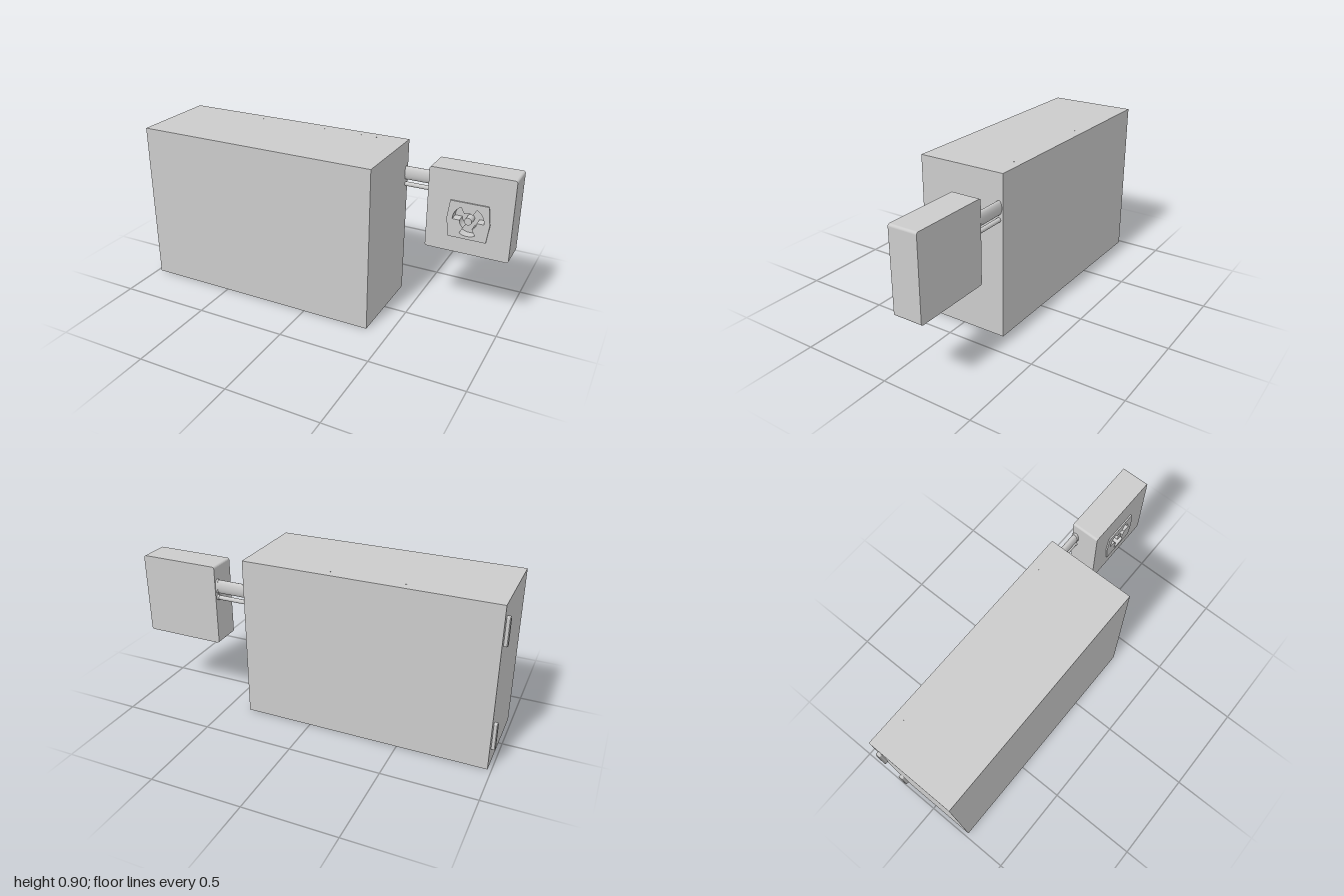
import * as THREE from 'three';

const material = new THREE.MeshStandardMaterial({ color: 0xcccccc });

function add(parent, name, geometry, x = 0, y = 0, z = 0) {
  const mesh = new THREE.Mesh(geometry, material);
  mesh.name = name;
  mesh.position.set(x, y, z);
  parent.add(mesh);
  return mesh;
}

// Rectangle with small rounded corners, centred on the origin
function roundedRect(w, h, r) {
  const s = new THREE.Shape();
  const x = w / 2 - r, y = h / 2 - r;
  s.absarc(x, y, r, 0, Math.PI / 2);
  s.absarc(-x, y, r, Math.PI / 2, Math.PI);
  s.absarc(-x, -y, r, Math.PI, Math.PI * 1.5);
  s.absarc(x, -y, r, Math.PI * 1.5, Math.PI * 2);
  s.closePath();
  return s;
}

// Three 60 degree fan blades joined around a smaller hub circle
function trefoil(cx, cy, outer, inner) {
  const p = new THREE.Path();
  for (let i = 0; i < 6; i++) {
    const a = i * Math.PI / 3;
    p.absarc(cx, cy, i % 2 ? inner : outer, a, a + Math.PI / 3);
  }
  p.closePath();
  return p;
}

const extrude = (shape, depth) =>
  new THREE.ExtrudeGeometry(shape, { depth, bevelEnabled: false, curveSegments: 8 });

export function createModel() {
  const model = new THREE.Group();
  model.name = 'cabinetWithSideUnit';

  // Main cabinet
  add(model, 'cabinet', new THREE.BoxGeometry(1.355, 0.896, 0.495), -0.3025, 0.448, -0.0025);

  // Four pairs of tiny studs along the top, near the back
  for (let i = 0; i < 4; i++) {
    for (const dx of [0, 0.086]) {
      add(model, 'topStud', new THREE.CylinderGeometry(0.003, 0.003, 0.001, 8),
        -0.8 + i * 0.307 + dx, 0.8962, -0.2);
    }
  }

  // Two bevelled hinges on the right side
  for (const y of [0.17, 0.747]) {
    const hinge = add(model, 'hinge', new THREE.ExtrudeGeometry(
      roundedRect(0.018, 0.146, 0.003),
      { depth: 0.016, bevelThickness: 0.004, bevelSize: 0.004, bevelSegments: 1, curveSegments: 3 }
    ), -0.98, y, -0.2);
    hinge.rotation.y = -Math.PI / 2;
  }

  // Pipes linking the cabinet and the side unit
  for (const [name, y, ry, rz] of [['largePipe', 0.717, 0.038, 0.018], ['smallPipe', 0.653, 0.012, 0.012]]) {
    const pipe = new THREE.Group();
    pipe.name = name;
    pipe.position.set(0.4625, y, -0.225);
    pipe.rotation.z = -Math.PI / 2;
    pipe.scale.set(1, 1, 1);
    model.add(pipe);
    add(pipe, name + 'Tube', new THREE.CylinderGeometry(1, 1, 0.2, 24)).scale.set(ry, 1, rz);
    add(pipe, name + 'Collar', new THREE.CylinderGeometry(1, 1, 0.012, 24), 0, 0.082, 0)
      .scale.set(ry + 0.002, 1, rz + 0.002);
  }

  // Side unit: solid rear shell and a front shell with the recess cut through
  const unit = new THREE.Group();
  unit.name = 'sideUnit';
  unit.position.set(0.774, 0.608, -0.247);
  model.add(unit);
  add(unit, 'rearShell', extrude(roundedRect(0.446, 0.446, 0.012), 0.112));
  const cy = -0.036;
  const front = roundedRect(0.446, 0.446, 0.012);
  front.holes.push(trefoil(0, cy, 0.083, 0.045));
  add(unit, 'frontShell', extrude(front, 0.045), 0, 0, 0.112);

  // Raised plate with pointed sides and the same fan-shaped opening
  const plate = new THREE.Shape([
    [-0.1, -0.1], [0.1, -0.1], [0.113, 0], [0.1, 0.1], [-0.1, 0.1], [-0.113, 0],
  ].map(([x, y]) => new THREE.Vector2(x, y + cy)));
  plate.holes.push(trefoil(0, cy, 0.083, 0.045));
  add(unit, 'fanPlate', extrude(plate, 0.008), 0, 0, 0.157);

  // Hub in the middle of the recess
  add(unit, 'fanHub', new THREE.CylinderGeometry(0.02, 0.02, 0.053, 20), 0, cy, 0.1385)
    .rotation.x = Math.PI / 2;

  return model;
}
